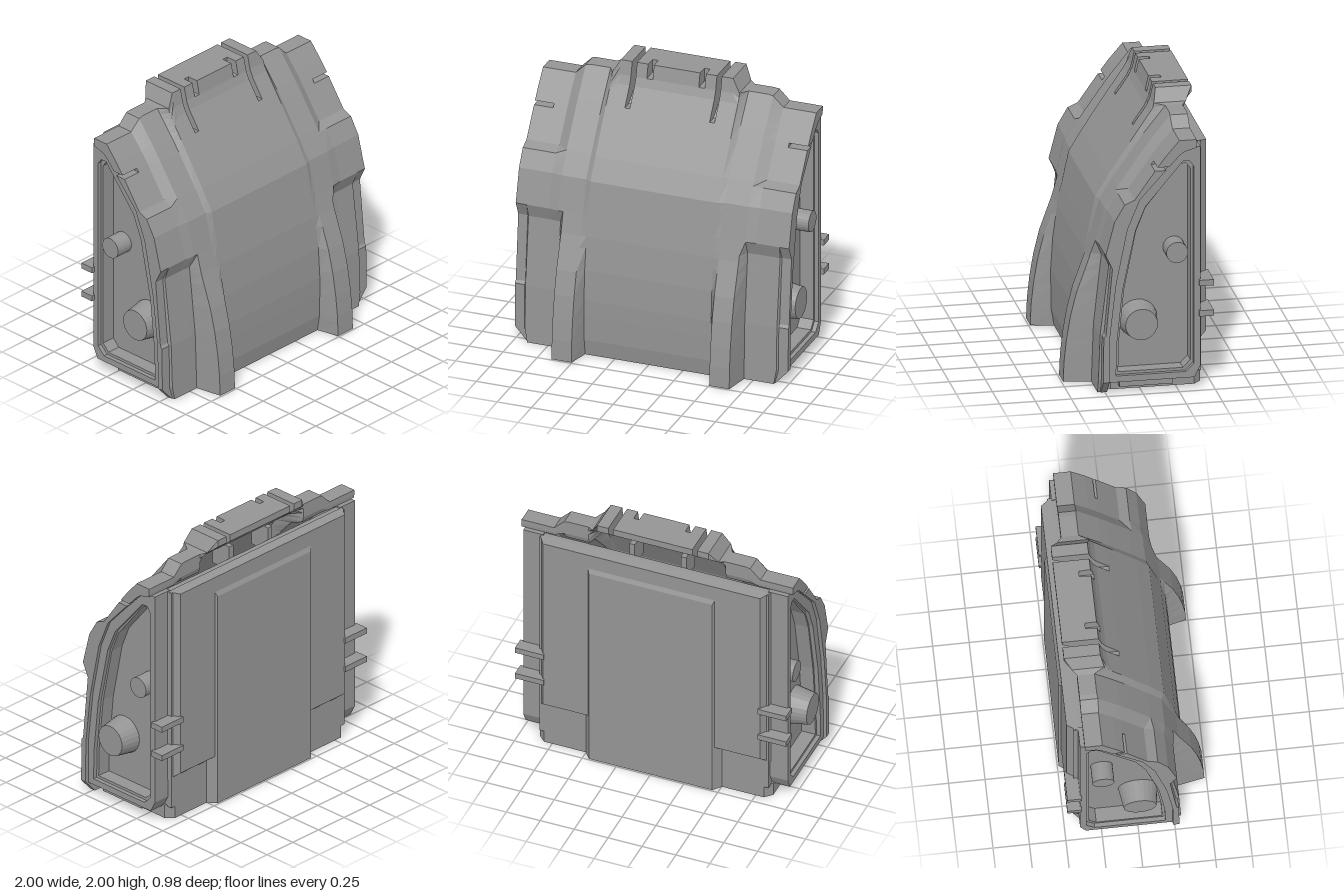
import * as THREE from 'three';

const mat = new THREE.MeshStandardMaterial({ color: 0x949494, flatShading: true, side: THREE.DoubleSide });

// piecewise-linear lookup in a list of [key, value]
function lerp(list, k) {
  if (k <= list[0][0]) return list[0][1];
  for (let i = 1; i < list.length; i++) {
    const [a, va] = list[i - 1], [b, vb] = list[i];
    if (k <= b) return va + (vb - va) * (k - a) / (b - a);
  }
  return list[list.length - 1][1];
}

// front profiles [y, z] of the shell, from the middle to the edge
const upperMid = [[1.02, 0.272], [1.26, 0.21], [1.41, 0.115], [1.68, -0.075], [1.9, -0.25]];
const upperSide = [[1.02, 0.262], [1.26, 0.2], [1.38, 0.13], [1.41, 0.06], [1.68, -0.13], [1.82, -0.25]];
const centre = [[0, 0.33], [0.12, 0.35], [0.4, 0.355], [0.64, 0.34], [0.88, 0.308], [1.02, 0.28], [1.26, 0.23],
  [1.41, 0.14], [1.68, -0.04], [1.87, -0.17], [2, -0.2]];
const rib = [[0, 0.488], [0.15, 0.482], [0.3, 0.466], [0.47, 0.438], [0.64, 0.396], [0.88, 0.31], ...upperMid];
const ribFoot = [[0, 0.3], [0.42, 0.285], [0.92, 0.23], ...upperMid];
const panel = [[0, 0.3], [0.42, 0.285], [0.92, 0.225], ...upperSide];
const edge = [[0, 0.28], [0.42, 0.275], [0.44, 0.26], [0.92, 0.215], ...upperSide];

// back profiles of the shell
const backLow = [[0, 0.235], [0.4, 0.235], [0.8, 0.19], [1.2, 0.11]];
const backCentre = [...backLow, [1.42, 0.05], [1.71, -0.14], [1.84, -0.32], [1.95, -0.45], [2, -0.45]];
const backSide = [...backLow, [1.42, 0.02], [1.71, -0.25], [1.737, -0.285], [1.76, -0.37], [1.9, -0.37]];

const topEdge = [[0.41, 2], [0.47, 1.9], [0.68, 1.9], [0.76, 1.82]];

// columns of the shell: [x, front profile, back profile]
const half = [
  ...[0.168, 0.17, 0.21, 0.212, 0.292, 0.328, 0.41, 0.465].map(x => [x, centre, backCentre]),
  ...[0.505, 0.65].map(x => [x, rib, backSide]),
  [0.685, ribFoot, backSide],
  ...[0.76, 0.86, 0.92].map(x => [x, panel, backSide]),
  ...[0.93, 1].map(x => [x, edge, backSide])
];
const rows = [0, 0.1, 0.12, 0.15, 0.3, 0.42, 0.44, 0.47, 0.64, 0.8, 0.88, 0.92, 1.02, 1.2, 1.26, 1.38, 1.41,
  1.61, 1.635, 1.71, 1.78, 1.84, 1.9, 1.905, 1.95, 2];

function shellGeometry() {
  const cols = [...half.map(([x, f, b]) => [-x, f, b]).reverse(), ...half];
  const point = (i, j, front) => {
    const [x, f, b] = cols[i], ax = Math.abs(x);
    let y = rows[j];
    if (y > 1.71) y = 1.71 + (y - 1.71) * (lerp(topEdge, ax) - 1.71) / 0.29;
    // corner cut at the foot
    const px = ax > 0.9 ? 0.9 + (ax - 0.9) * Math.min(1, 0.1 + 9 * y) : ax;
    let z = lerp(front ? f : b, y);
    // shallow grooves beside the middle
    if (front && ax > 0.169 && ax < 0.211 && y > 1.901) z = -0.28;
    return [Math.sign(x) * px, y, z];
  };
  const solid = (i, j) => {
    if (i < 0 || j < 0 || i >= cols.length - 1 || j >= rows.length - 1) return false;
    const x = Math.abs(cols[i][0] + cols[i + 1][0]) / 2, y = (rows[j] + rows[j + 1]) / 2;
    if (x > 0.292 && x < 0.328 && y > 1.71) return false;             // long slots
    return !(x > 0.86 && y > 1.61 && y < 1.635);                      // side slots
  };
  const pos = [];
  const quad = (a, b, c, d) => pos.push(...a, ...b, ...c, ...a, ...c, ...d);
  for (let i = 0; i < cols.length - 1; i++) for (let j = 0; j < rows.length - 1; j++) {
    if (!solid(i, j)) continue;
    const corners = [[i, j], [i + 1, j], [i + 1, j + 1], [i, j + 1]];
    const F = corners.map(c => point(...c, true)), B = corners.map(c => point(...c, false));
    quad(...F);
    quad(B[3], B[2], B[1], B[0]);
    [[0, -1], [1, 0], [0, 1], [-1, 0]].forEach(([di, dj], k) => {
      const n = (k + 1) % 4;
      if (!solid(i + di, j + dj)) quad(F[k], B[k], B[n], F[n]);
    });
  }
  const g = new THREE.BufferGeometry();
  g.setAttribute('position', new THREE.Float32BufferAttribute(pos, 3));
  g.computeVertexNormals();
  return g;
}

// extrude a [z, y] outline from x0 to x1
function sideways(pts, x0, x1, hole) {
  const v = list => list.map(([z, y]) => new THREE.Vector2(-z, y));
  const s = new THREE.Shape(v(pts));
  if (hole) s.holes.push(new THREE.Path(v(hole)));
  return new THREE.ExtrudeGeometry(s, { depth: x1 - x0, bevelEnabled: false })
    .rotateY(Math.PI / 2).translate(x0, 0, 0);
}

// plate with bevelled edges: each end is [z, half width, bottom, top]
function bevelledPlate(inner, outer) {
  const g = new THREE.BoxGeometry(1, 1, 1), p = g.attributes.position;
  for (let i = 0; i < p.count; i++) {
    const [z, w, y0, y1] = p.getZ(i) > 0 ? inner : outer;
    p.setXYZ(i, Math.sign(p.getX(i)) * w, p.getY(i) > 0 ? y1 : y0, z);
  }
  g.computeVertexNormals();
  return g;
}

export function createModel() {
  const model = new THREE.Group();
  const add = (name, geo) => {
    const m = new THREE.Mesh(geo, mat);
    m.name = name;
    model.add(m);
  };
  const box = (name, x0, x1, y0, y1, z0, z1) => add(name,
    new THREE.BoxGeometry(x1 - x0, y1 - y0, z1 - z0).translate((x0 + x1) / 2, (y0 + y1) / 2, (z0 + z1) / 2));

  add('frontShell', shellGeometry());

  // inner body, set back a little under the shell
  add('body', sideways([[0.22, 0.09], [0.22, 0.4], [0.17, 0.8], [0.09, 1.2], [-0.03, 1.4], [-0.33, 1.72],
    [-0.36, 1.75], [-0.43, 1.75], [-0.43, 0.09]], -0.845, 0.845));

  // side frames around the pockets
  const outer = [[0.236, 0.09], [0.236, 0.4], [0.19, 0.8], [0.11, 1.2], [0.02, 1.42], [-0.3, 1.76],
    [-0.4, 1.76], [-0.4, 0.17], [-0.36, 0.09]];
  const inner = [[0.185, 0.135], [0.18, 0.36], [0.14, 0.75], [0.05, 1.18], [-0.02, 1.35], [-0.28, 1.66],
    [-0.325, 1.66], [-0.355, 1.62], [-0.355, 0.19], [-0.3, 0.135]];
  const step = inner.map(([z, y]) => [-0.1 + (z + 0.1) * 0.93, 0.8 + (y - 0.8) * 0.97]);
  for (const s of [-1, 1]) {
    const span = (a, b) => s > 0 ? [a, b] : [-b, -a];
    add('sideFrame', sideways(outer, ...span(0.83, 0.975), inner));
    add('pocketStep', sideways(inner, ...span(0.83, 0.945), step));

    // pegs inside each pocket
    const peg = (name, r0, r1, y, z, end) => add(name, new THREE.CylinderGeometry(r1, r0, end - 0.82, 24)
      .rotateZ(-s * Math.PI / 2).translate(s * (end + 0.82) / 2, y, z));
    peg('largePeg', 0.14, 0.112, 0.5, 0.01, 0.99);
    peg('smallPeg', 0.075, 0.075, 1, -0.24, 0.975);

    // fins at the back corners
    for (const y of [0.535, 0.755]) box('backFin', ...span(0.79, 1), y, y + 0.042, -0.49, -0.39);

    box('shellStrut', ...span(0.17, 0.21), 1.66, 1.84, -0.36, -0.2);
    box('bottomLug', ...span(0.84, 0.92), 0.035, 0.09, -0.22, 0.15);
  }

  // back plates
  add('backPlate', bevelledPlate([-0.4, 0.85, 0.3, 1.755], [-0.475, 0.8, 0.36, 1.745]));
  add('backCentrePlate', bevelledPlate([-0.42, 0.51, 0, 1.745], [-0.49, 0.455, 0, 1.6]));

  // open tray rim underneath
  const rim = (w, z0, z1, c) => [[-w + c, z0], [w - c, z0], [w, z0 + c], [w, z1 - c], [w - c, z1], [-w + c, z1],
    [-w, z1 - c], [-w, z0 + c]].map(([x, z]) => new THREE.Vector2(x, -z));
  const tray = new THREE.Shape(rim(0.86, -0.43, 0.25, 0.05));
  tray.holes.push(new THREE.Path(rim(0.76, -0.37, 0.17, 0.06)));
  add('bottomRim', new THREE.ExtrudeGeometry(tray, { depth: 0.1, bevelEnabled: false }).rotateX(-Math.PI / 2));

  return model;
}
